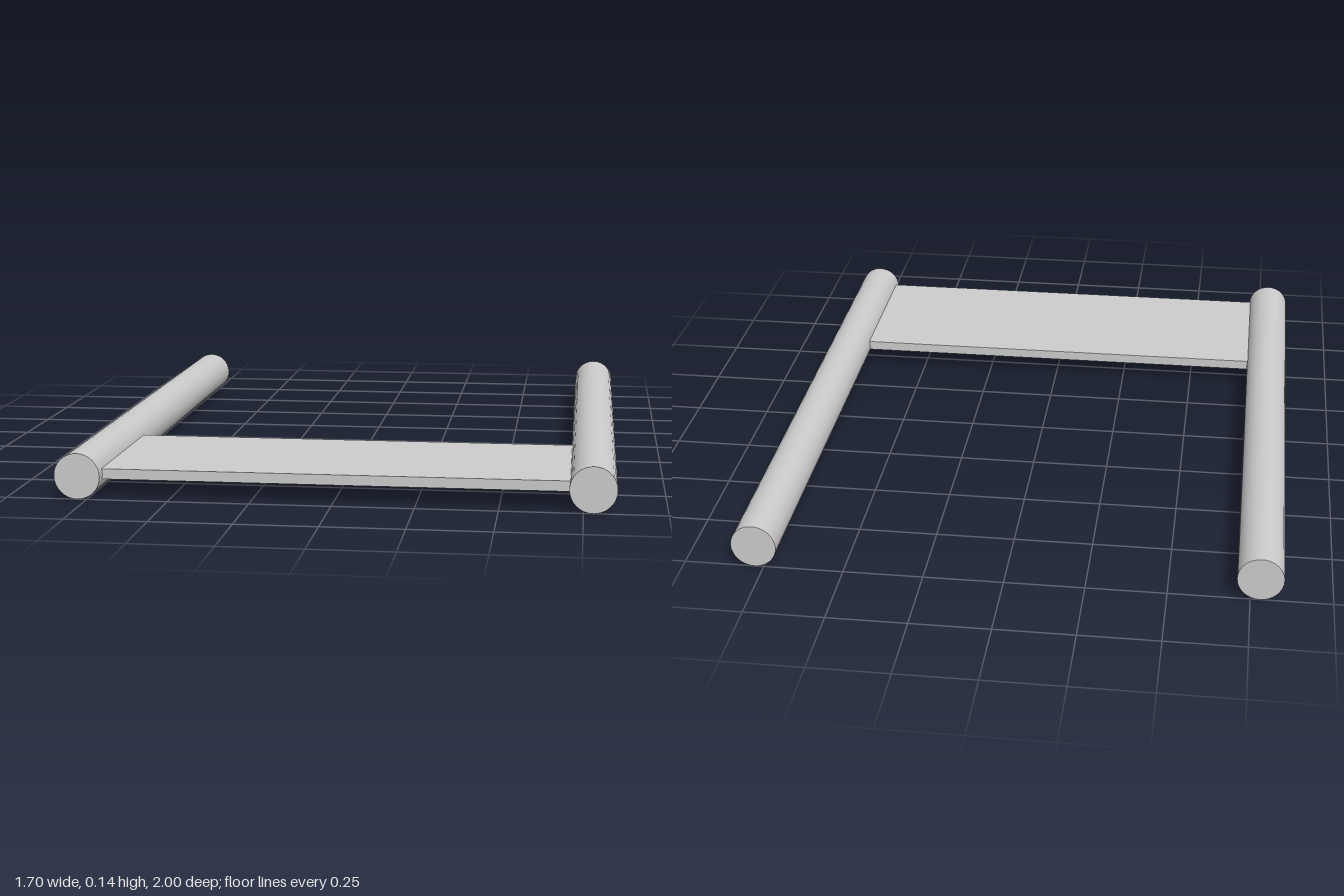
import * as THREE from 'three';

export function createModel() {
  const model = new THREE.Group();
  const material = new THREE.MeshStandardMaterial({ color: 0xcccccc });
  const radius = 0.071;
  const railX = 0.779;

  // Two parallel round rails running front to back
  const railGeometry = new THREE.CylinderGeometry(radius, radius, 2, 32);
  railGeometry.rotateX(Math.PI / 2);
  for (const [name, side] of [['leftRail', 1], ['rightRail', -1]]) {
    const rail = new THREE.Mesh(railGeometry, material);
    rail.name = name;
    rail.position.set(side * railX, radius, 0);
    model.add(rail);
  }

  // Thin flat board joining the rails near the front, its ends just inside them
  const board = new THREE.Mesh(new THREE.BoxGeometry(1.43, 0.032, 0.53), material);
  board.name = 'crossBoard';
  board.position.set(0, 0.073, 0.7);
  model.add(board);

  return model;
}
